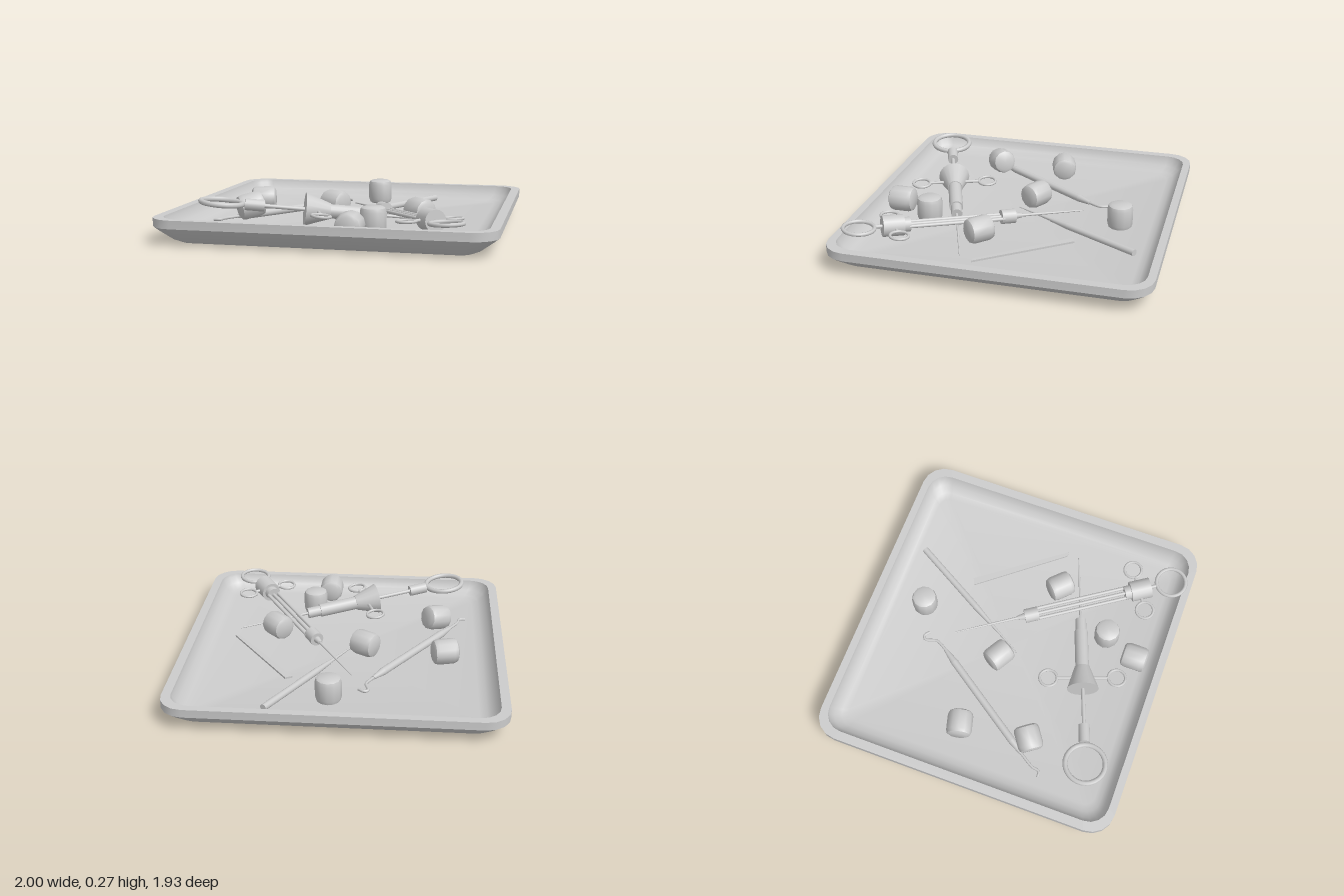
import * as THREE from 'three';
import { toCreasedNormals } from 'three/addons/utils/BufferGeometryUtils.js';

const grey = new THREE.MeshStandardMaterial({ color: 0xcccccc });
const FLOOR = 0.05;
const V = (x, y, z) => new THREE.Vector3(x, y, z);

function add(parent, name, geometry) {
  const mesh = new THREE.Mesh(geometry, grey);
  mesh.name = name;
  parent.add(mesh);
  return mesh;
}

// Group with its origin at one point and its local +x aimed at another
function aimed(name, from, to) {
  const g = new THREE.Group();
  g.name = name;
  const x = to.clone().sub(from).normalize();
  const z = x.clone().cross(V(0, 1, 0)).normalize();
  g.quaternion.setFromRotationMatrix(new THREE.Matrix4().makeBasis(x, z.clone().cross(x), z));
  g.position.copy(from);
  return g;
}

// Round bar along local x, from s0 to s1
function bar(parent, name, s0, s1, r0, r1 = r0, z = 0, y = 0) {
  const g = new THREE.CylinderGeometry(r1, r0, s1 - s0, 16).rotateZ(-Math.PI / 2);
  return add(parent, name, g.translate((s0 + s1) / 2, y, z));
}

function ring(parent, name, s, z, radius, tube) {
  const g = new THREE.TorusGeometry(radius, tube, 8, 28).rotateX(Math.PI / 2);
  return add(parent, name, g.translate(s, 0, z));
}

// Two finger rings on short stems, mirrored about the axis
function fingerRings(parent, s, reach, bodyRadius) {
  for (const side of [-1, 1]) {
    ring(parent, 'fingerRing', s, side * reach, 0.055, 0.009);
    const a = bodyRadius * 0.6, b = reach - 0.055;
    const stem = new THREE.CylinderGeometry(0.01, 0.01, b - a, 8).rotateX(Math.PI / 2);
    add(parent, 'fingerStem', stem.translate(s, 0, side * (a + b) / 2));
  }
}

// Rounded-rectangle loops joined into a dished tray
function trayGeometry() {
  const sections = [ // inset, height
    [0.15, 0], [0.1, 0.022], [0.03, 0.075], [0, 0.1], [0, 0.15],
    [0.055, 0.15], [0.06, 0.13], [0.085, 0.09], [0.125, 0.06], [0.17, FLOOR]];
  const pos = [], idx = [], steps = 4, n = 4 * (steps + 1);
  for (const [inset, y] of sections) {
    const r = 0.15 - inset * 0.5;
    const cx = 1 - inset - r, cz = 0.963 - inset * 0.85 - r;
    for (let c = 0; c < 4; c++) {
      for (let k = 0; k <= steps; k++) {
        const a = (c + k / steps) * Math.PI / 2;
        const sx = c === 0 || c === 3 ? 1 : -1, sz = c < 2 ? 1 : -1;
        pos.push(sx * cx + r * Math.cos(a), y, sz * cz + r * Math.sin(a));
      }
    }
  }
  const last = (sections.length - 1) * n, bottom = sections.length * n, top = bottom + 1;
  pos.push(0, 0, 0, 0, FLOOR, 0);
  for (let j = 0; j < n; j++) {
    const k = (j + 1) % n;
    for (let i = 0; i < last; i += n) {
      idx.push(i + j, i + n + j, i + k, i + k, i + n + j, i + n + k);
    }
    idx.push(bottom, j, k, top, last + k, last + j);
  }
  const g = new THREE.BufferGeometry();
  g.setAttribute('position', new THREE.Float32BufferAttribute(pos, 3));
  g.setIndex(idx);
  return toCreasedNormals(g, 0.6);
}

function wire(parent, name, points, radius) {
  const curve = new THREE.CatmullRomCurve3(points.map(([x, z]) => V(x, 0.075, z)), false, 'centripetal');
  return add(parent, name, new THREE.TubeGeometry(curve, 24, radius, 8));
}

export function createModel() {
  const model = new THREE.Group();
  model.name = 'instrumentTray';
  add(model, 'tray', trayGeometry());

  // Cotton rolls: x, y, z, heading, tilt (null heading = standing)
  const profile = [[0, -0.08], [0.055, -0.08], [0.073, -0.07], [0.08, -0.048],
    [0.08, 0.048], [0.073, 0.07], [0.055, 0.08], [0, 0.08]].map(p => new THREE.Vector2(...p));
  const roll = toCreasedNormals(new THREE.LatheGeometry(profile, 12), 0.7);
  const rolls = [
    [0.05, 0.13, -0.63, null], [0.245, 0.13, 0.55, null],
    [-0.635, 0.13, -0.12, 0.26], [-0.13, 0.13, -0.05, -0.53],
    [0.455, 0.13, 0.16, -0.78], [-0.58, 0.15, 0.315, 0.62, 0.2],
    [0.155, 0.13, 0.765, Math.PI / 2]];
  for (const [x, y, z, heading, tilt = 0] of rolls) {
    const m = add(model, 'cottonRoll', roll);
    m.position.set(x, y, z);
    if (heading !== null) {
      m.rotation.set(0, heading, Math.PI / 2 + tilt, 'YXZ');
    }
  }

  // Double-ended hooked explorer
  const explorer = aimed('explorer', V(-0.67, 0.075, 0.3), V(-0.2, 0.075, -0.39));
  const len = Math.hypot(0.47, 0.69);
  bar(explorer, 'handleEnd', 0, 0.1, 0.012, 0.024);
  bar(explorer, 'handle', 0.1, len - 0.1, 0.024);
  bar(explorer, 'handleEnd', len - 0.1, len, 0.024, 0.012);
  model.add(explorer);
  wire(model, 'explorerHook', [[-0.2, -0.39], [-0.162, -0.465], [-0.178, -0.54], [-0.155, -0.555], [-0.12, -0.53]], 0.009);
  wire(model, 'explorerPick', [[-0.67, 0.3], [-0.725, 0.39], [-0.74, 0.44], [-0.778, 0.445]], 0.009);

  // Straight probe
  const probe = aimed('probe', V(0.415, 0.073, -0.78), V(-0.055, 0.06, 0.045));
  bar(probe, 'handle', 0, 0.53, 0.021);
  bar(probe, 'collar', 0.53, 0.67, 0.021, 0.013);
  bar(probe, 'needle', 0.67, 0.95, 0.011, 0.003);
  model.add(probe);

  // Flat tapered strip
  const strip = new THREE.Shape([[0.295, 0.385], [0.705, -0.125], [0.735, -0.125], [0.337, 0.405]]
    .map(p => new THREE.Vector2(...p)));
  add(model, 'flatStrip', new THREE.ExtrudeGeometry(strip, { depth: 0.012, bevelEnabled: false })
    .rotateX(-Math.PI / 2).translate(0, FLOOR, 0));

  // Solid-barrel syringe
  const syringe = aimed('barrelSyringe', V(-0.63, 0.223, 0.695), V(0.717, 0.075, 0.2));
  ring(syringe, 'thumbRing', 0, 0, 0.122, 0.016);
  bar(syringe, 'plungerCap', 0.135, 0.25, 0.035);
  bar(syringe, 'plungerRod', 0.24, 0.5, 0.012);
  bar(syringe, 'flare', 0.49, 0.64, 0.1, 0.048);
  bar(syringe, 'barrel', 0.63, 0.89, 0.043);
  bar(syringe, 'nozzle', 0.89, 0.975, 0.035);
  bar(syringe, 'needle', 0.97, 1.435, 0.009, 0.004);
  fingerRings(syringe, 0.565, 0.215, 0.08);
  model.add(syringe);

  // Open-frame syringe
  const frame = aimed('frameSyringe', V(0.71, 0.172, 0.83), V(-0.07, 0.08, -0.38));
  ring(frame, 'thumbRing', 0, 0, 0.094, 0.012);
  bar(frame, 'plungerRod', 0.1, 0.9, 0.011);
  bar(frame, 'gripBlock', 0.14, 0.27, 0.065);
  bar(frame, 'gripNeck', 0.27, 0.31, 0.045);
  for (const side of [-1, 1]) {
    bar(frame, 'frameBar', 0.3, 0.9, 0.011, 0.011, side * 0.035);
  }
  bar(frame, 'nose', 0.885, 0.975, 0.045);
  bar(frame, 'noseTip', 0.975, 1.02, 0.022, 0.014);
  bar(frame, 'needle', 1.02, 1.44, 0.009, 0.004);
  fingerRings(frame, 0.215, 0.145, 0.06);
  model.add(frame);

  return model;
}
